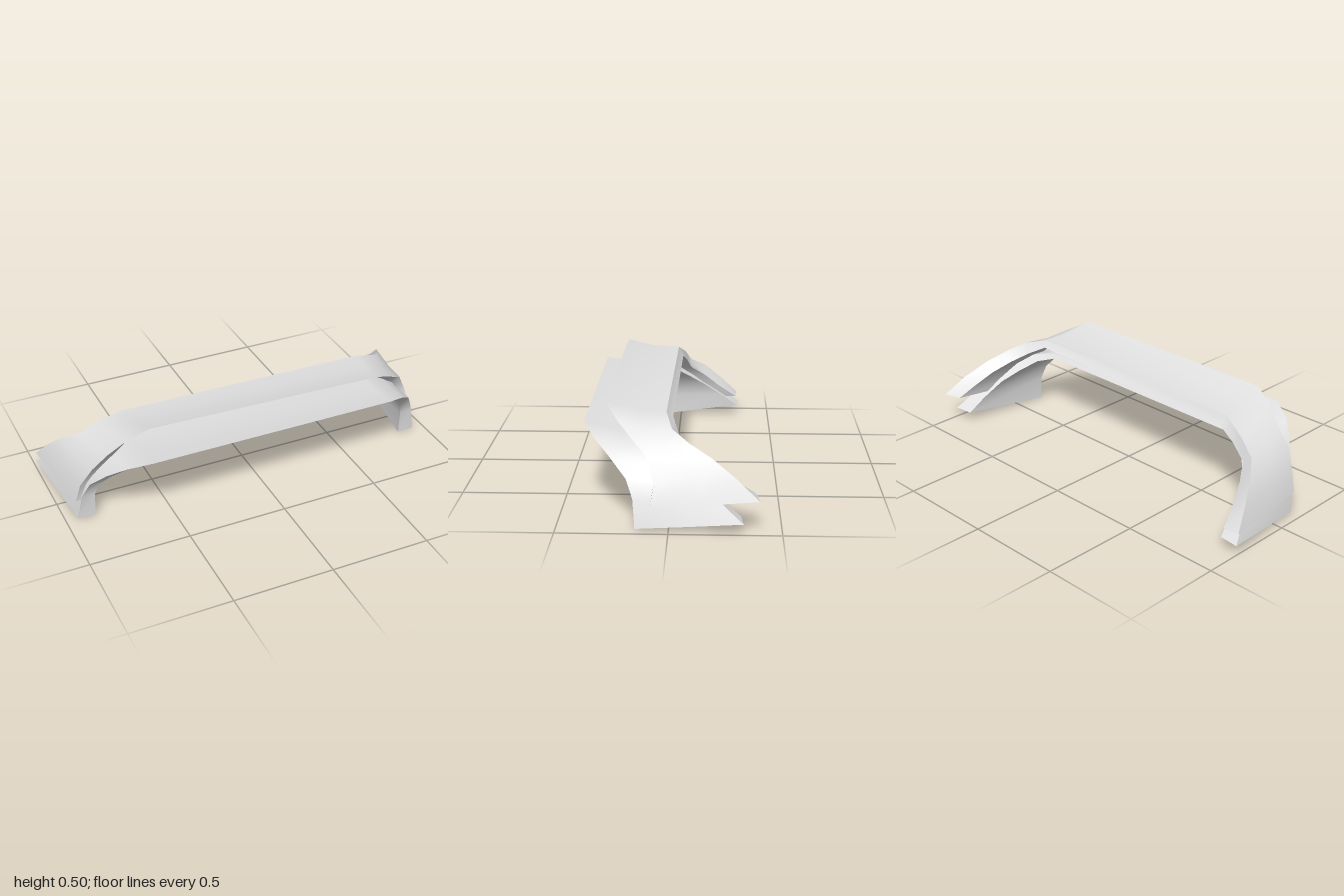
import * as THREE from 'three';

// Each station, from the middle of the band out to the foot:
// [front outer xyz, back outer xyz, back inner xyz, front inner xyz]
const lowerSide = [
  [0.63, 0.395, 0.40, 0.64, 0.36, 0.075, 0.62, 0.34, 0.06, 0.61, 0.33, 0.305],
  [0.74, 0.355, 0.34, 0.76, 0.33, 0.04, 0.72, 0.305, 0.02, 0.72, 0.30, 0.27],
  [0.82, 0.29, 0.265, 0.84, 0.28, -0.03, 0.79, 0.25, -0.05, 0.79, 0.25, 0.225],
  [0.88, 0.21, 0.19, 0.90, 0.21, -0.12, 0.85, 0.19, -0.13, 0.83, 0.19, 0.178],
  [0.915, 0.13, 0.16, 0.95, 0.14, -0.22, 0.88, 0.12, -0.23, 0.85, 0.12, 0.158],
  [0.94, 0.0, 0.15, 1.0, 0.05, -0.33, 0.9, 0.05, -0.32, 0.85, 0.0, 0.153],
];
const upperLeft = [
  [0.60, 0.49, 0.30, 0.64, 0.452, 0.02, 0.62, 0.425, -0.01, 0.595, 0.42, 0.16],
  [0.71, 0.43, 0.24, 0.77, 0.41, -0.01, 0.72, 0.37, -0.04, 0.69, 0.38, 0.14],
  [0.80, 0.36, 0.16, 0.84, 0.365, -0.09, 0.79, 0.32, -0.11, 0.76, 0.33, 0.11],
  [0.865, 0.31, 0.10, 0.895, 0.315, -0.19, 0.84, 0.27, -0.20, 0.82, 0.28, 0.08],
  [0.925, 0.20, 0.065, 0.955, 0.24, -0.30, 0.88, 0.21, -0.29, 0.86, 0.195, 0.065],
  [0.95, 0.108, 0.08, 1.0, 0.155, -0.40, 0.9, 0.16, -0.385, 0.87, 0.12, 0.08],
];
const upperRight = [
  [0.60, 0.505, 0.28, 0.64, 0.455, 0.005, 0.62, 0.41, -0.02, 0.595, 0.412, 0.15],
  [0.70, 0.45, 0.25, 0.76, 0.40, -0.03, 0.72, 0.36, -0.04, 0.68, 0.38, 0.16],
  [0.79, 0.37, 0.215, 0.85, 0.335, -0.06, 0.80, 0.30, -0.06, 0.75, 0.325, 0.165],
  [0.865, 0.30, 0.20, 0.91, 0.285, -0.14, 0.85, 0.24, -0.14, 0.81, 0.265, 0.165],
  [0.92, 0.20, 0.165, 0.96, 0.20, -0.23, 0.88, 0.17, -0.22, 0.85, 0.185, 0.15],
  [0.945, 0.108, 0.155, 1.0, 0.105, -0.32, 0.91, 0.10, -0.315, 0.87, 0.115, 0.15],
];

// Walls as [name, first corner line, second corner line, dip along the middle]
const walls = [
  ['outerWall', 1, 0, 0.012],
  ['backEdge', 2, 1, 0],
  ['innerWall', 3, 2, 0],
  ['frontEdge', 0, 3, 0],
];

const corner = (row, i, sx) =>
  new THREE.Vector3(sx * row[i * 3], row[i * 3 + 1], row[i * 3 + 2]);

// One smooth wall of a band: a strip of quads between two corner lines
function wall(stations, a, b, sag) {
  const pos = [], index = [];
  const cuts = sag ? 3 : 2;
  stations.forEach((s, r) => {
    for (let c = 0; c < cuts; c++) {
      const p = s[a].clone().lerp(s[b], c / (cuts - 1));
      if (sag && c === 1) p.y -= sag * Math.min(1, p.y / 0.35);
      pos.push(p.x, p.y, p.z);
      if (r && c) {
        const k = r * cuts + c;
        index.push(k - 1 - cuts, k - 1, k, k - 1 - cuts, k, k - cuts);
      }
    }
  });
  const g = new THREE.BufferGeometry();
  g.setAttribute('position', new THREE.Float32BufferAttribute(pos, 3));
  g.setIndex(index);
  g.computeVertexNormals();
  return g;
}

// A hollow bent band of four walls, open at both feet
function band(name, rightSide, leftSide, material) {
  const toStation = (sx) => (row) => [0, 1, 2, 3].map((i) => corner(row, i, sx));
  const stations = [
    ...rightSide.map(toStation(-1)).reverse(),
    ...leftSide.map(toStation(1)),
  ];
  const group = new THREE.Group();
  group.name = name;
  for (const [part, a, b, sag] of walls) {
    const mesh = new THREE.Mesh(wall(stations, a, b, sag), material);
    mesh.name = part;
    group.add(mesh);
  }
  return group;
}

export function createModel() {
  const grey = new THREE.MeshStandardMaterial({ color: 0xe2e2e2, side: THREE.DoubleSide });
  grey.name = 'light grey';
  const model = new THREE.Group();
  model.name = 'doubleBand';
  model.add(band('lowerBand', lowerSide, lowerSide, grey));
  model.add(band('upperBand', upperRight, upperLeft, grey));
  return model;
}
